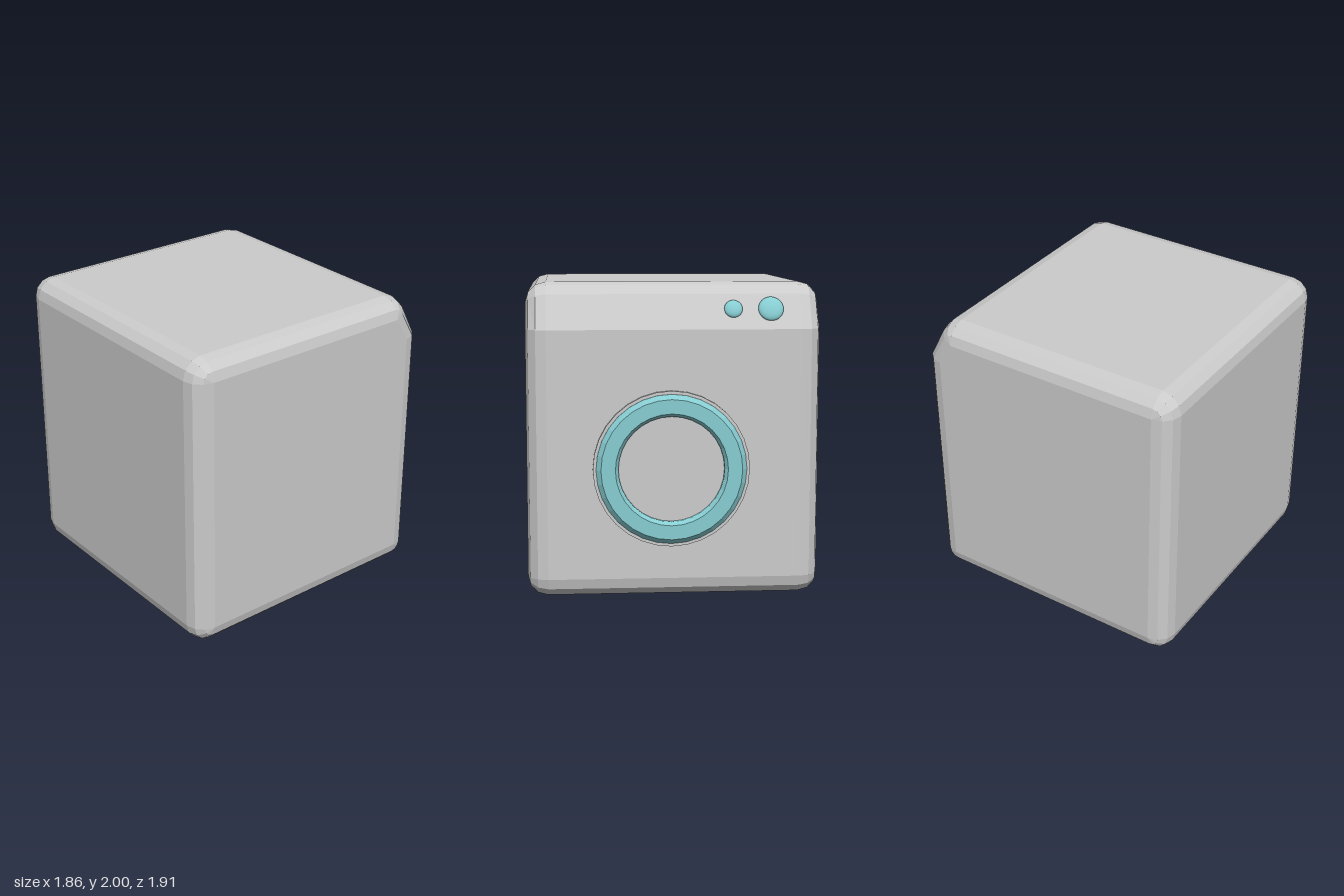
import * as THREE from 'three';

const R = 0.13; // edge rounding of the cabinet
const rad = THREE.MathUtils.degToRad;
const grey = new THREE.MeshStandardMaterial({ color: 0xcccccc, flatShading: true });
const teal = new THREE.MeshStandardMaterial({ color: 0x87cdd2, flatShading: true });
const tealSmooth = new THREE.MeshStandardMaterial({ color: 0x87cdd2 });

// Cabinet: side outline (u = -z, y) swept across x with rounded edges.
// Each corner has an arc centre and the angles of its facets.
function cabinetGeometry() {
  const corners = [
    [0.77, 0.13, [-90, -60, -30, 0]],
    [0.77, 1.71, [0]],               // foot of the slanted control panel
    [0.67, 1.87, [25.5, 60, 90]],    // top of the control panel
    [-0.825, 1.87, [90, 120, 150, 180]],
    [-0.825, 0.13, [180, 210, 240, 270]],
  ];
  const outline = corners.flatMap(([u, y, angles]) => angles.map((a) => [u, y, rad(a)]));
  const n = outline.length;
  const tilts = [[-1, -90], [-1, -60], [-1, -30], [-1, 0], [1, 0], [1, 30], [1, 60], [1, 90]];
  const positions = [];
  const index = [];
  for (const [side, tilt] of tilts) {
    const x = side * 0.8 + R * Math.sin(rad(tilt));
    const r = R * Math.cos(rad(tilt));
    for (const [u, y, a] of outline) {
      positions.push(x, y + r * Math.sin(a), -(u + r * Math.cos(a)));
    }
  }
  const last = (tilts.length - 1) * n;
  const capL = positions.length / 3;
  positions.push(-0.93, 1, 0, 0.93, 1, 0);
  for (let j = 0; j < n; j++) {
    const j2 = (j + 1) % n;
    for (let k = 0; k < tilts.length - 1; k++) {
      const a = k * n + j, b = k * n + j2, c = b + n, d = a + n;
      index.push(a, b, c, a, c, d);
    }
    index.push(capL, j2, j, capL + 1, last + j, last + j2);
  }
  const geo = new THREE.BufferGeometry();
  geo.setAttribute('position', new THREE.Float32BufferAttribute(positions, 3));
  geo.setIndex(index);
  const flat = geo.toNonIndexed();
  flat.computeVertexNormals();
  return flat;
}

export function createModel() {
  const model = new THREE.Group();
  const add = (name, geo, mat, parent = model) => {
    const mesh = new THREE.Mesh(geo, mat);
    mesh.name = name;
    parent.add(mesh);
    return mesh;
  };

  add('cabinet', cabinetGeometry(), grey);

  // Round door on the back face; its local y axis points along -z
  const door = new THREE.Group();
  door.name = 'door';
  door.position.set(0.02, 0.835, -0.9);
  door.rotation.x = -Math.PI / 2;
  model.add(door);
  const ring = (name, profile, mat) =>
    add(name, new THREE.LatheGeometry(profile.map(([r, h]) => new THREE.Vector2(r, h)), 32), mat, door);
  ring('doorFlange', [[0.495, -0.01], [0.495, 0.023], [0.34, 0.023]], grey);
  ring('doorRing', [[0.475, 0.02], [0.475, 0.028], [0.445, 0.056], [0.355, 0.056], [0.335, 0.03], [0.335, 0]], teal);
  const pane = add('doorPane', new THREE.CircleGeometry(0.34, 32), grey, door);
  pane.rotation.x = -Math.PI / 2;
  pane.position.y = 0.005;

  // Domed buttons on the slanted control panel
  const slope = Math.atan2(0.105, 0.22);
  for (const [name, x, r, bulge] of [['largeButton', -0.61, 0.08, 0.03], ['smallButton', -0.373, 0.058, 0.025]]) {
    const button = add(name, new THREE.SphereGeometry(1, 24, 16), tealSmooth);
    button.scale.set(r, r, bulge);
    button.position.set(x, 1.835, -0.842);
    button.rotation.x = slope;
  }
  return model;
}
